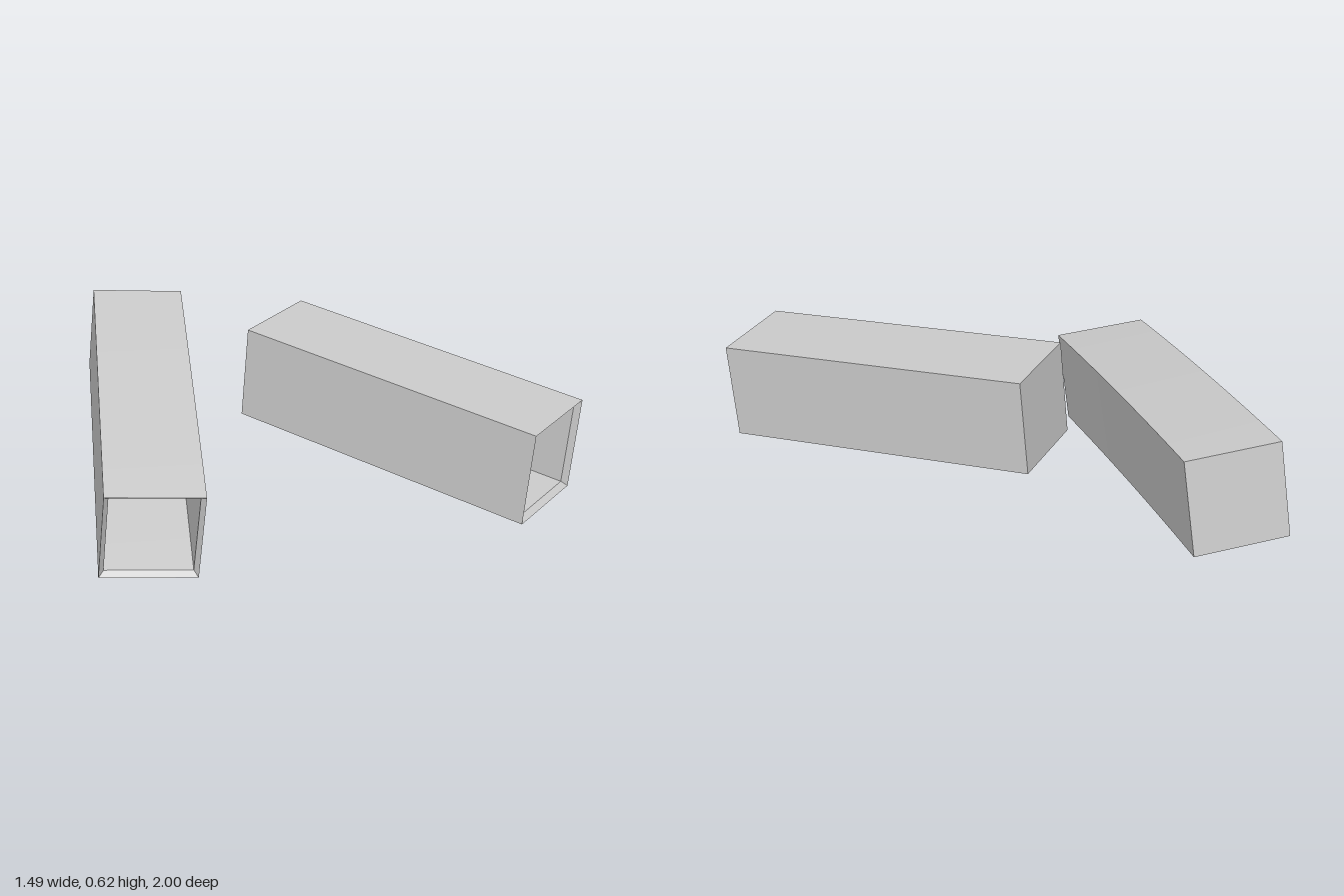
import * as THREE from 'three';
import { toCreasedNormals } from 'three/addons/utils/BufferGeometryUtils.js';

const WALL = 0.017; // wall thickness
const LIP = 0.02;   // how far the rim slopes inward
const STEPS = 14;

// Rectangular tube, closed at the back and open at the front, swept along a slightly bowed line
function tubeGeometry({ front, back, right, up, bow }) {
  const f = new THREE.Vector3(...front), b = new THREE.Vector3(...back);
  const r = new THREE.Vector3(...right), u = new THREE.Vector3(...up);
  const length = f.distanceTo(b);
  const points = [], index = [];

  // One four-cornered section at t (0 = back, 1 = front), inset by the wall
  const addSection = (t, inset) => {
    const c = b.clone().lerp(f, t);
    c.y += bow * 4 * t * (1 - t);
    const sr = 1 - inset / r.length(), su = 1 - inset / u.length();
    for (const [i, j] of [[-1, -1], [1, -1], [1, 1], [-1, 1]]) {
      const p = c.clone().addScaledVector(r, i * sr).addScaledVector(u, j * su);
      points.push(p.x, p.y, p.z);
    }
  };

  // Outer skin from back to front, then the inner skin from the rim to the back
  for (let i = 0; i <= STEPS; i++) addSection(i / STEPS, 0);
  const rim = 1 - LIP / length, floor = WALL / length;
  for (let i = 0; i <= STEPS; i++) addSection(rim + (floor - rim) * i / STEPS, WALL);

  const sections = points.length / 12;
  for (let s = 0; s < sections - 1; s++) {
    for (let k = 0; k < 4; k++) {
      const a = s * 4 + k, n = s * 4 + (k + 1) % 4;
      index.push(a, n, n + 4, a, n + 4, a + 4);
    }
  }
  // Back wall, outside and inside
  const e = (sections - 1) * 4;
  index.push(0, 3, 2, 0, 2, 1, e, e + 1, e + 2, e, e + 2, e + 3);

  const geometry = new THREE.BufferGeometry();
  geometry.setAttribute('position', new THREE.Float32BufferAttribute(points, 3));
  geometry.setIndex(index);
  return toCreasedNormals(geometry, 0.4);
}

export function createModel() {
  const group = new THREE.Group();
  const material = new THREE.MeshStandardMaterial({ color: 0xcccccc });

  // Centres of both ends, half-width and half-height vectors, upward bow
  const tubes = {
    rightTube: {
      front: [-0.599, 0.18, 0.28], back: [0.105, 0.336, -0.89],
      right: [0.145, -0.01, 0.085], up: [0, 0.165, 0.027], bow: 0.01,
    },
    leftTube: {
      front: [0.575, 0.375, 0.93], back: [0.215, 0.457, -0.148],
      right: [0.16, -0.003, -0.054], up: [0.006, 0.167, 0.011], bow: 0,
    },
  };
  for (const [name, spec] of Object.entries(tubes)) {
    const mesh = new THREE.Mesh(tubeGeometry(spec), material);
    mesh.name = name;
    group.add(mesh);
  }
  return group;
}
